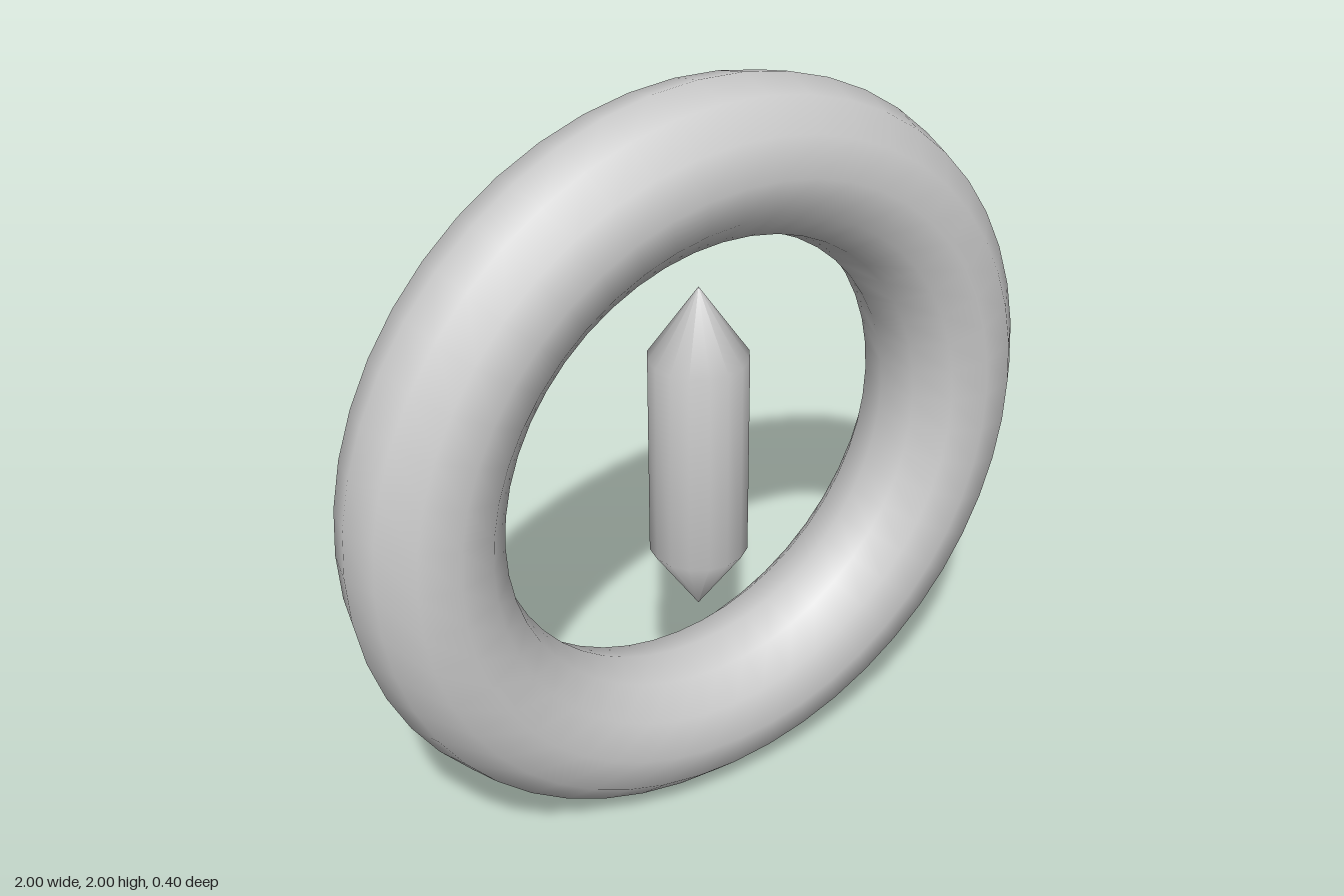
import * as THREE from 'three';

export function createModel() {
  const group = new THREE.Group();
  const grey = new THREE.MeshStandardMaterial({ color: 0xcccccc });

  // Upright ring with a twelve-sided tube
  const ring = new THREE.Mesh(new THREE.TorusGeometry(0.8, 0.2, 12, 48), grey);
  ring.name = 'ring';
  ring.position.y = 1;
  group.add(ring);

  // Double-pointed crystal floating in the middle, smooth over its edges
  const profile = [[0, -0.47], [0.13, -0.28], [0.13, 0.28], [0, 0.47]]
    .map(([r, y]) => new THREE.Vector2(r, y));
  const crystal = new THREE.Mesh(new THREE.LatheGeometry(profile, 16), grey);
  crystal.name = 'crystal';
  crystal.position.y = 1;
  group.add(crystal);

  return group;
}
